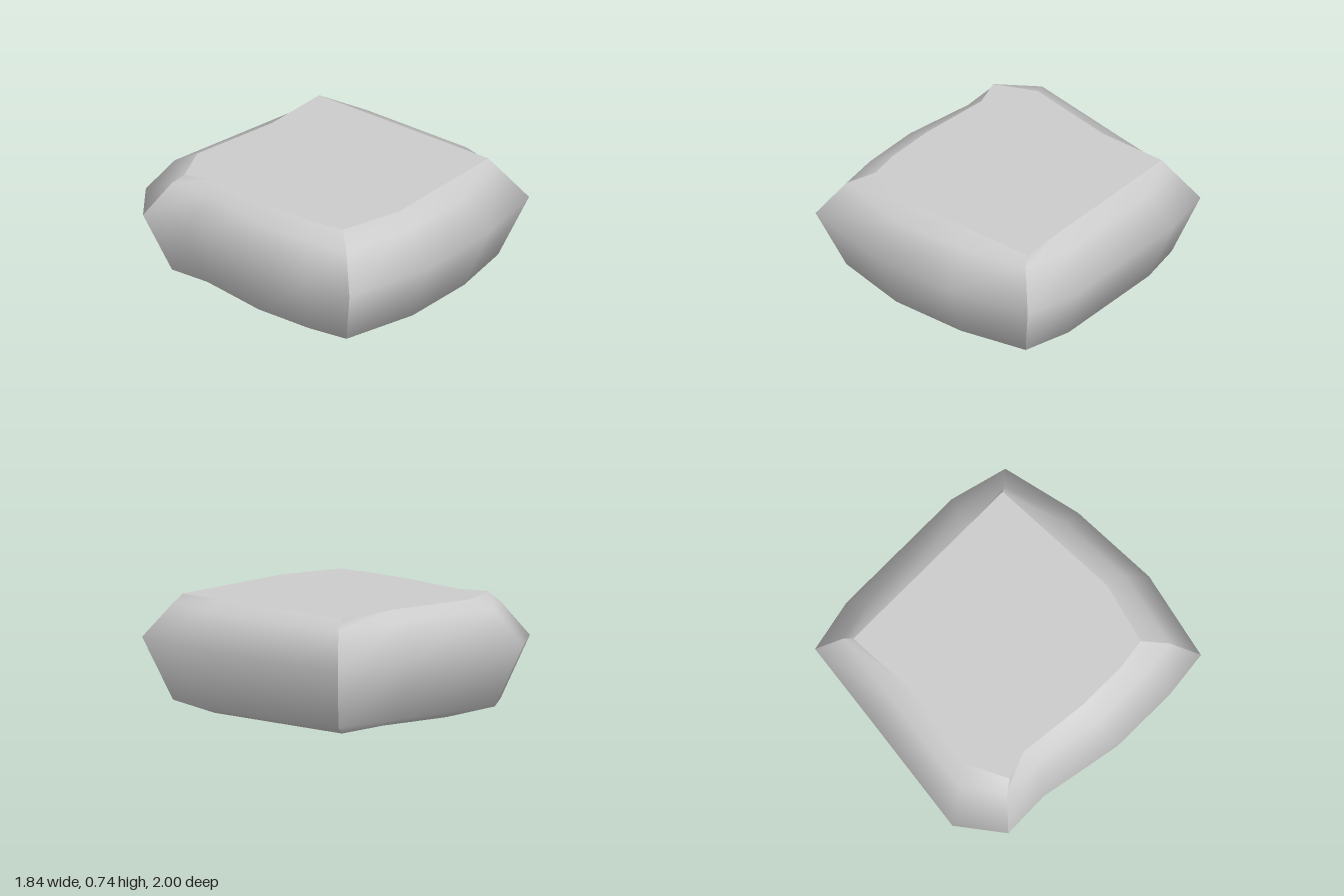
import * as THREE from 'three';

// Each wall lists [x, z at the widest girth, x, z at the top rim], anticlockwise from above
const walls = {
  frontWall: [[-0.88, 0.85, -0.62, 0.59], [-0.3, 1, -0.22, 0.71], [0.3, 1, 0.22, 0.71], [0.82, 0.9, 0.66, 0.71]],
  leftWall: [[0.82, 0.9, 0.66, 0.71], [0.92, 0.53, 0.66, 0.38], [0.92, -0.4, 0.66, -0.29], [0.85, -0.75, 0.66, -0.61]],
  backWall: [[0.85, -0.75, 0.66, -0.61], [0.28, -0.85, 0.2, -0.61], [-0.55, -1, -0.4, -0.72], [-0.83, -0.8, -0.66, -0.61]],
  rightWall: [[-0.83, -0.8, -0.66, -0.61], [-0.82, -0.48, -0.6, -0.42], [-0.92, 0.07, -0.65, 0.05],
    [-0.92, 0.53, -0.65, 0.38], [-0.88, 0.85, -0.62, 0.59]],
};

// Heights, with the scale of the girth or of the rim outline
const levels = [
  { y: 0, rim: true, s: 0.8 },
  { y: 0.08, rim: false, s: 0.845 },
  { y: 0.47, rim: false, s: 1 },
  { y: 0.68, rim: false, s: 0.845 },
  { y: 0.74, rim: true, s: 1 },
];

// Smooth wall between two sharp corners, stacked from the levels
function wallGeometry(columns) {
  const positions = [], indices = [], n = columns.length;
  for (const { y, rim, s } of levels) {
    for (const [gx, gz, rx, rz] of columns) positions.push((rim ? rx : gx) * s, y, (rim ? rz : gz) * s);
  }
  for (let i = 0; i < levels.length - 1; i++) {
    for (let j = 0; j < n - 1; j++) {
      const a = i * n + j, b = a + 1, c = b + n, d = a + n;
      indices.push(a, b, c, a, c, d);
    }
  }
  const geometry = new THREE.BufferGeometry();
  geometry.setAttribute('position', new THREE.Float32BufferAttribute(positions, 3));
  geometry.setIndex(indices);
  geometry.computeVertexNormals();
  return geometry;
}

// Flat face filling the rim outline, facing up (1) or down (-1)
function capGeometry({ y, s }, facing) {
  const outline = Object.values(walls).flatMap((columns) => columns.slice(0, -1));
  const shape = new THREE.Shape(outline.map(([, , x, z]) => new THREE.Vector2(x * s, -facing * z * s)));
  return new THREE.ShapeGeometry(shape).rotateX(-facing * Math.PI / 2).translate(0, y, 0);
}

export function createModel() {
  const stone = new THREE.Group();
  stone.name = 'stone';
  const material = new THREE.MeshStandardMaterial({ color: 0xcccccc });
  const add = (name, geometry) => {
    const mesh = new THREE.Mesh(geometry, material);
    mesh.name = name;
    stone.add(mesh);
  };
  for (const [name, columns] of Object.entries(walls)) add(name, wallGeometry(columns));
  add('topFace', capGeometry(levels[4], 1));
  add('bottomFace', capGeometry(levels[0], -1));
  return stone;
}
